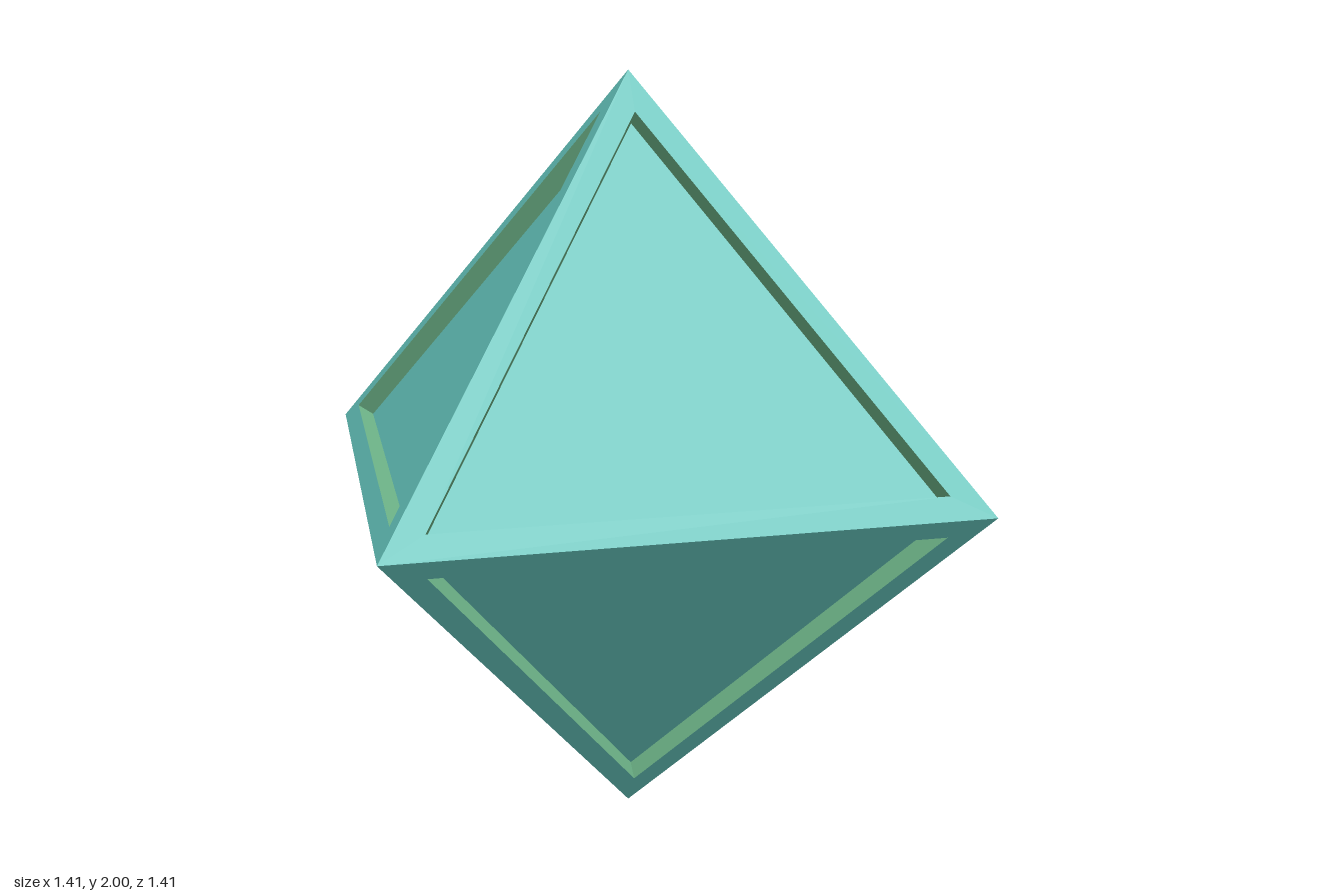
import * as THREE from 'three';

const HALF = Math.SQRT1_2; // half width of the square waist
const INSET = 0.85;        // panel size relative to its face
const DEPTH = 0.05;        // panel recess depth

const teal = new THREE.MeshStandardMaterial({ color: 0x62c1b9 });
teal.name = 'teal';
const green = new THREE.MeshStandardMaterial({ color: 0x74be90 });
green.name = 'green';

// Flat-shaded mesh from a list of convex, counter-clockwise polygons
function polygonMesh(name, polygons, material) {
  const points = [];
  for (const p of polygons) {
    for (let i = 1; i < p.length - 1; i++) points.push(p[0], p[i], p[i + 1]);
  }
  const geometry = new THREE.BufferGeometry().setFromPoints(points);
  geometry.computeVertexNormals();
  const mesh = new THREE.Mesh(geometry, material);
  mesh.name = name;
  return mesh;
}

// One triangular face: a flat rim, sloping recess walls and a sunken panel
function createFace(name, outer) {
  const triangle = new THREE.Triangle(...outer);
  const centre = triangle.getMidpoint(new THREE.Vector3());
  const normal = triangle.getNormal(new THREE.Vector3());
  const inner = outer.map((p) => centre.clone().lerp(p, INSET));
  const sunk = inner.map((p) => p.clone().addScaledVector(normal, -DEPTH));

  const rim = [], walls = [];
  for (let i = 0; i < 3; i++) {
    const j = (i + 1) % 3;
    rim.push([outer[i], outer[j], inner[j], inner[i]]);
    walls.push([inner[i], inner[j], sunk[j], sunk[i]]);
  }
  const face = new THREE.Group();
  face.name = name;
  face.add(
    polygonMesh('rim', rim, teal),
    polygonMesh('recessWalls', walls, green),
    polygonMesh('sunkenPanel', [sunk], teal),
  );
  return face;
}

export function createModel() {
  const model = new THREE.Group();
  model.name = 'octahedron';
  const top = new THREE.Vector3(0, 2, 0);
  const bottom = new THREE.Vector3(0, 0, 0);
  const waist = [[1, 1], [-1, 1], [-1, -1], [1, -1]]
    .map(([x, z]) => new THREE.Vector3(x * HALF, 1, z * HALF));

  // Four upper and four lower faces around the waist
  ['Front', 'Right', 'Back', 'Left'].forEach((side, i) => {
    const a = waist[i], b = waist[(i + 1) % 4];
    model.add(createFace('upper' + side + 'Face', [b, a, top]));
    model.add(createFace('lower' + side + 'Face', [a, b, bottom]));
  });
  return model;
}
